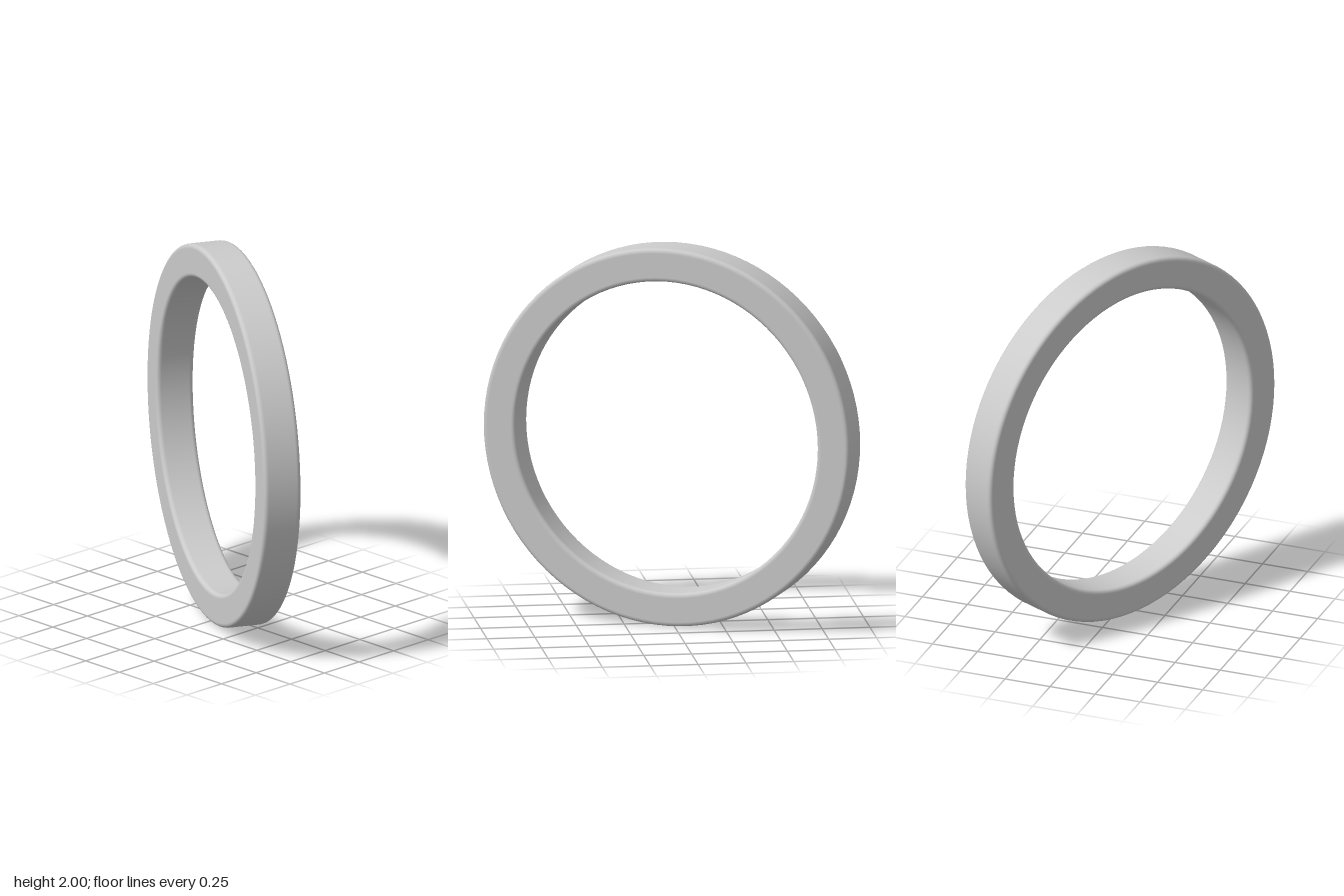
import * as THREE from 'three';

const OUTER = 1, INNER = 0.825, HALF = 0.1, BEVEL = 0.02;

// Closed rounded-rectangle section, counter-clockwise, starting mid inner wall.
function ringSection() {
  const pts = [new THREE.Vector2(INNER, 0)];
  const corners = [
    [INNER + BEVEL, -HALF + BEVEL, Math.PI],
    [OUTER - BEVEL, -HALF + BEVEL, Math.PI * 1.5],
    [OUTER - BEVEL, HALF - BEVEL, 0],
    [INNER + BEVEL, HALF - BEVEL, Math.PI / 2],
  ];
  const steps = 4, hold = 0.004;
  for (const [cx, cy, start] of corners) {
    const at = (a) => new THREE.Vector2(cx + BEVEL * Math.cos(a), cy + BEVEL * Math.sin(a));
    const end = start + Math.PI / 2;
    // Extra points beside each bevel keep the flat faces evenly shaded.
    pts.push(at(start).add(new THREE.Vector2(Math.sin(start), -Math.cos(start)).multiplyScalar(hold)));
    for (let i = 0; i <= steps; i++) pts.push(at(start + (i / steps) * Math.PI / 2));
    pts.push(at(end).add(new THREE.Vector2(-Math.sin(end), Math.cos(end)).multiplyScalar(hold)));
  }
  pts.push(new THREE.Vector2(INNER, 0));
  return pts;
}

export function createModel() {
  const group = new THREE.Group();
  group.name = 'ringModel';

  // Upright ring turned about the vertical axis
  const geometry = new THREE.LatheGeometry(ringSection(), 96);
  geometry.rotateX(Math.PI / 2);
  const ring = new THREE.Mesh(geometry, new THREE.MeshStandardMaterial({ color: 0xcccccc }));
  ring.name = 'ring';
  ring.rotation.y = -THREE.MathUtils.degToRad(26.5);
  ring.position.y = OUTER;
  group.add(ring);

  return group;
}
